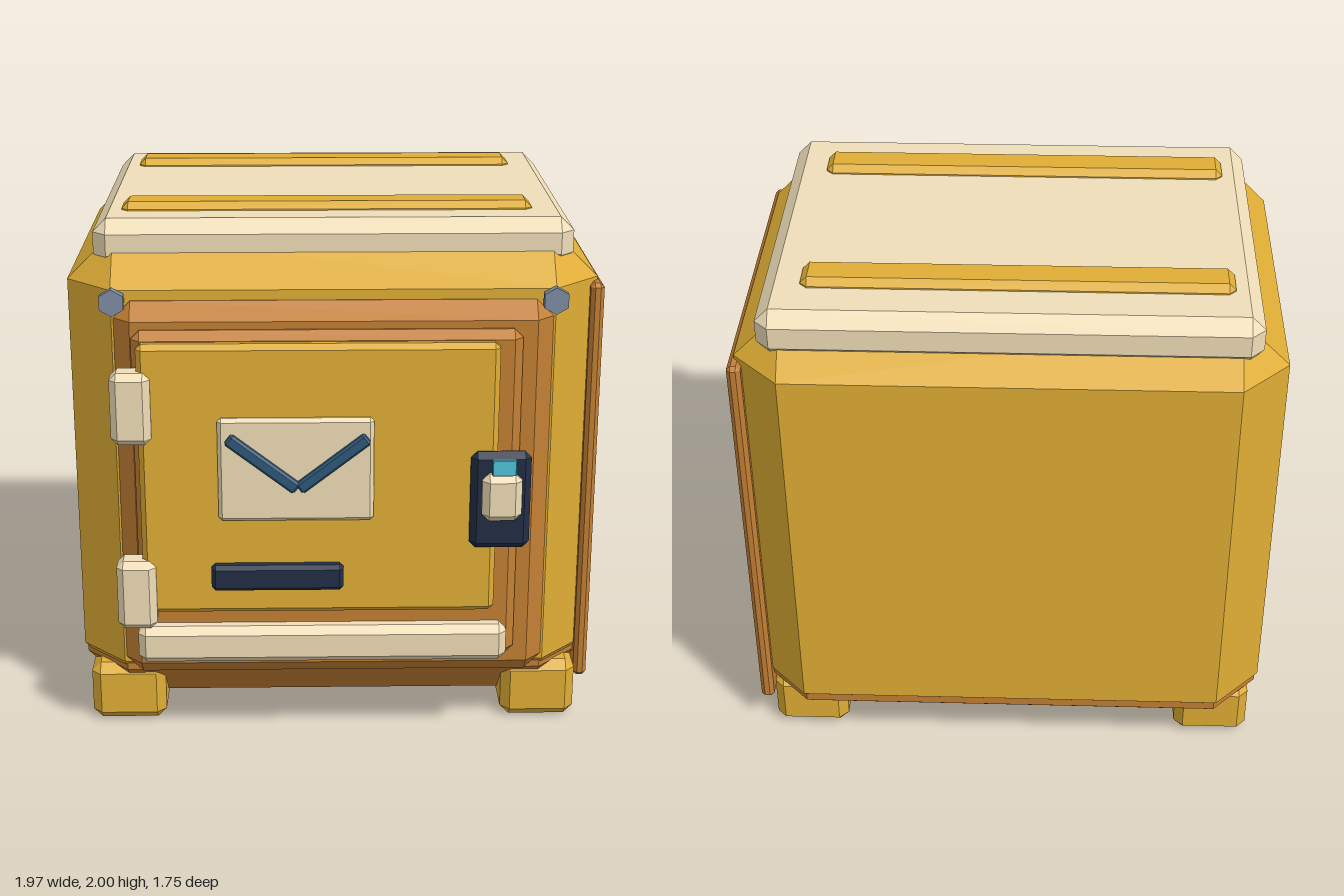
import * as THREE from 'three';
import { ConvexGeometry } from 'three/addons/geometries/ConvexGeometry.js';

const material = (color) => new THREE.MeshStandardMaterial({ color, flatShading: true });
const YELLOW = material(0xe0ae35), BROWN = material(0xc48034), BEIGE = material(0xf0deb8);
const NAVY = material(0x222e45), BLUE = material(0x2f587a), CYAN = material(0x4fc4da), STEEL = material(0x7f8ea3);

// Box of the given half sizes with all twelve edges chamfered by c
function chamferedBox(hx, hy, hz, c) {
  const points = [];
  for (const sx of [-1, 1]) for (const sy of [-1, 1]) for (const sz of [-1, 1]) {
    points.push(
      new THREE.Vector3(sx * hx, sy * (hy - c), sz * (hz - c)),
      new THREE.Vector3(sx * (hx - c), sy * hy, sz * (hz - c)),
      new THREE.Vector3(sx * (hx - c), sy * (hy - c), sz * hz));
  }
  return new ConvexGeometry(points);
}

export function createModel() {
  const model = new THREE.Group();
  model.name = 'safe';

  const add = (name, geometry, mat, x, y, z) => {
    const mesh = new THREE.Mesh(geometry, mat);
    mesh.name = name;
    mesh.position.set(x, y, z);
    model.add(mesh);
    return mesh;
  };
  // Chamfered block spanning the given ranges
  const block = (name, mat, [x0, x1], [y0, y1], [z0, z1], c) =>
    add(name, chamferedBox((x1 - x0) / 2, (y1 - y0) / 2, (z1 - z0) / 2, c), mat,
      (x0 + x1) / 2, (y0 + y1) / 2, (z0 + z1) / 2);

  // Cabinet, plinth and lid
  block('body', YELLOW, [-0.985, 0.96], [0.1, 1.915], [-0.875, 0.635], 0.172);
  block('base', BROWN, [-0.975, 0.95], [0.06, 0.44], [-0.865, 0.62], 0.17);
  block('lid', BEIGE, [-0.885, 0.865], [1.79, 1.97], [-0.805, 0.525], 0.05);
  block('sidePanel', BROWN, [0.93, 0.98], [0.14, 1.73], [-0.77, 0.53], 0.015);

  // Runners underneath and rails on the lid
  for (const [name, x] of [['rightFoot', -0.95], ['leftFoot', 0.64]])
    block(name, YELLOW, [x, x + 0.285], [0, 0.235], [-0.765, 0.6], 0.035);
  for (const [name, z] of [['backRail', -0.615], ['frontRail', 0.21]])
    block(name, YELLOW, [-0.79, 0.725], [1.94, 2], [z, z + 0.15], 0.025);

  // Stepped door
  block('doorFrame', BROWN, [-0.805, 0.78], [0.235, 1.705], [0.54, 0.7], 0.062);
  block('doorStep', BROWN, [-0.74, 0.665], [0.335, 1.615], [0.64, 0.74], 0.032);
  block('doorPanel', YELLOW, [-0.72, 0.58], [0.54, 1.58], [0.7, 0.78], 0.02);
  block('doorBar', BEIGE, [-0.745, 0.63], [0.34, 0.485], [0.7, 0.8], 0.028);
  for (const [name, y] of [['lowerHinge', 0.485], ['upperHinge', 1.21]])
    block(name, BEIGE, [-0.815, -0.67], [y, y + 0.27], [0.695, 0.81], 0.025);

  // Envelope plate with its two flap lines, and the slot
  block('envelopePlate', BEIGE, [-0.435, 0.13], [0.915, 1.31], [0.74, 0.8], 0.014);
  for (const side of [-1, 1]) {
    const flap = add(side < 0 ? 'rightFlapLine' : 'leftFlapLine',
      chamferedBox(0.157, 0.023, 0.02, 0.008), BLUE, -0.145 + side * 0.128, 1.143, 0.803);
    flap.rotation.z = side * 0.66;
  }
  block('slot', NAVY, [-0.465, 0.02], [0.645, 0.745], [0.765, 0.82], 0.015);

  // Lock
  block('lockPlate', NAVY, [0.48, 0.7], [0.805, 1.18], [0.762, 0.815], 0.024);
  block('lockButton', BEIGE, [0.52, 0.665], [0.925, 1.105], [0.78, 0.855], 0.026);
  block('lockLight', CYAN, [0.55, 0.637], [1.115, 1.175], [0.855, 0.877], 0.003);

  // Hexagonal corner bolts
  for (const [name, x] of [['rightBolt', -0.806], ['leftBolt', 0.783]])
    add(name, new THREE.CylinderGeometry(0.05, 0.05, 0.035, 6).rotateX(Math.PI / 2), STEEL, x, 1.708, 0.665);

  return model;
}
